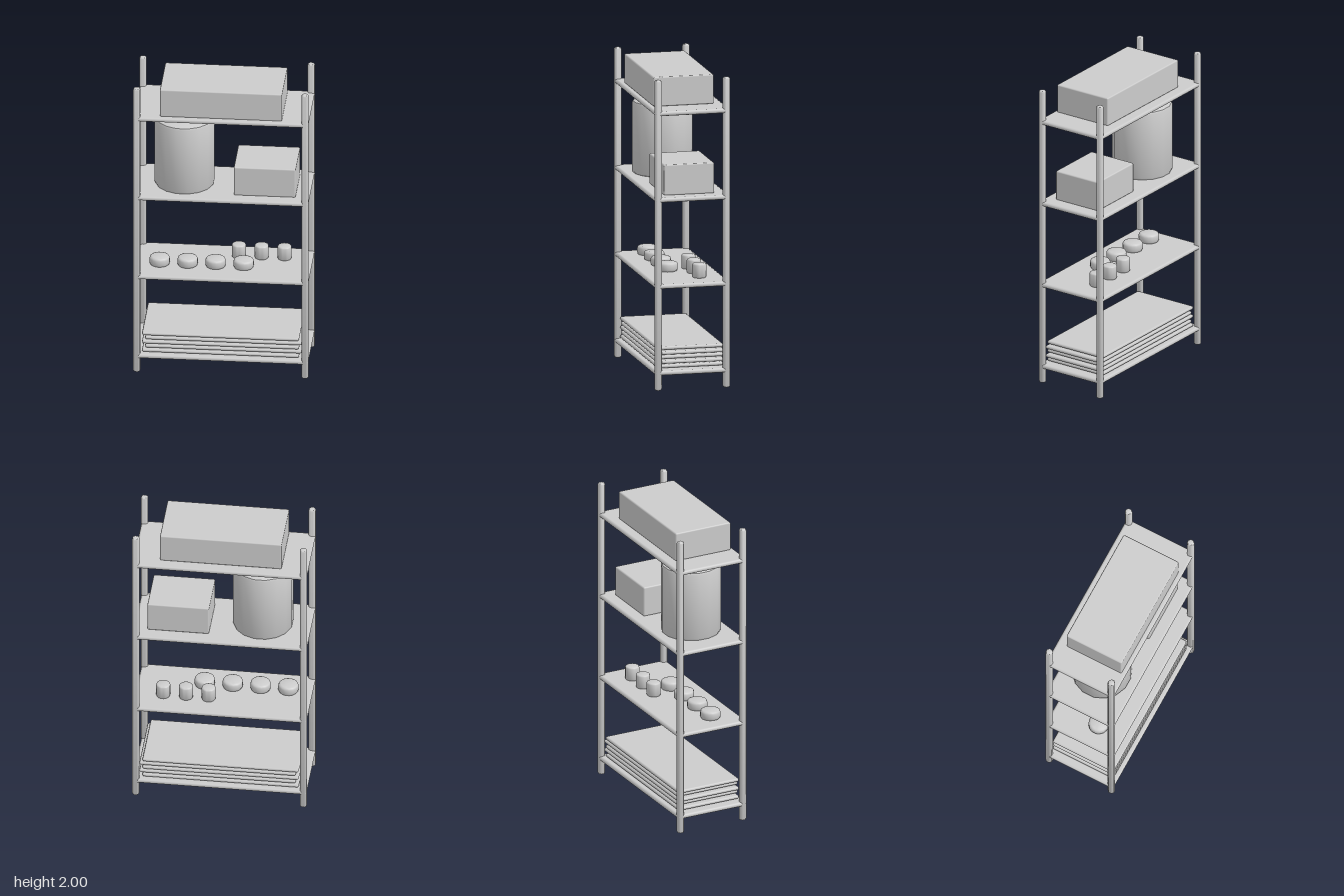
import * as THREE from 'three';
import { toCreasedNormals } from 'three/addons/utils/BufferGeometryUtils.js';
import { RoundedBoxGeometry } from 'three/addons/geometries/RoundedBoxGeometry.js';

export function createModel() {
  const model = new THREE.Group();
  const grey = new THREE.MeshStandardMaterial({ color: 0xcccccc });
  grey.name = 'light grey';

  function add(name, geometry, x, y, z) {
    const mesh = new THREE.Mesh(geometry, grey);
    mesh.name = name;
    mesh.position.set(x, y, z);
    model.add(mesh);
  }

  // Box with softened edges, centred on y
  const slab = (w, h, d, r) => new RoundedBoxGeometry(w, h, d, 1, r);

  // Upright cylinder standing on y = 0 with bevelled rims; r is measured to the flats
  function can(r, h, bevel, sides, crease) {
    const R = r / Math.cos(Math.PI / sides);
    const k = bevel * 0.3;
    const profile = [
      [0, 0], [R - bevel, 0], [R - k, k], [R, bevel],
      [R, h - bevel], [R - k, h - k], [R - bevel, h], [0, h],
    ].map(([x, y]) => new THREE.Vector2(x, y));
    const g = new THREE.LatheGeometry(profile, sides, Math.PI / sides);
    return toCreasedNormals(g, crease);
  }

  // Corner posts
  for (const x of [-0.533, 0.533]) {
    for (const z of [-0.222, 0.222]) add('post', can(0.022, 2, 0.012, 8, 0.9), x, 0, z);
  }

  // Four shelves
  for (let i = 0; i < 4; i++) {
    add('shelf', slab(1.108, 0.03, 0.486, 0.015), 0, 0.112 + i * 0.557, 0);
  }

  // Staggered stack of boards on the bottom shelf
  [0.143, 0.174, 0.202, 0.232, 0.26].forEach((y, i) => {
    add('board', slab(0.995, 0.023, 0.434, 0.0115), i % 2 ? 0.015 : -0.004, y, 0);
  });

  // Low jars in front and taller jars behind
  for (const x of [-0.402, -0.225, -0.048, 0.13]) {
    add('lowJar', can(0.063, 0.06, 0.015, 16, 0.9), x, 0.682, 0.061);
  }
  for (const x of [0.087, 0.231, 0.376]) {
    add('tallJar', can(0.044, 0.093, 0.01, 16, 0.9), x, 0.682, -0.085);
  }

  // Drum and boxes on the upper shelves
  add('drum', can(0.187, 0.47, 0.018, 16, 0.6), -0.249, 1.239, 0.003);
  add('smallBox', slab(0.392, 0.198, 0.328, 0.009), 0.272, 1.338, 0.003);
  add('largeBox', slab(0.774, 0.19, 0.394, 0.009), -0.001, 1.893, 0.019);

  return model;
}
